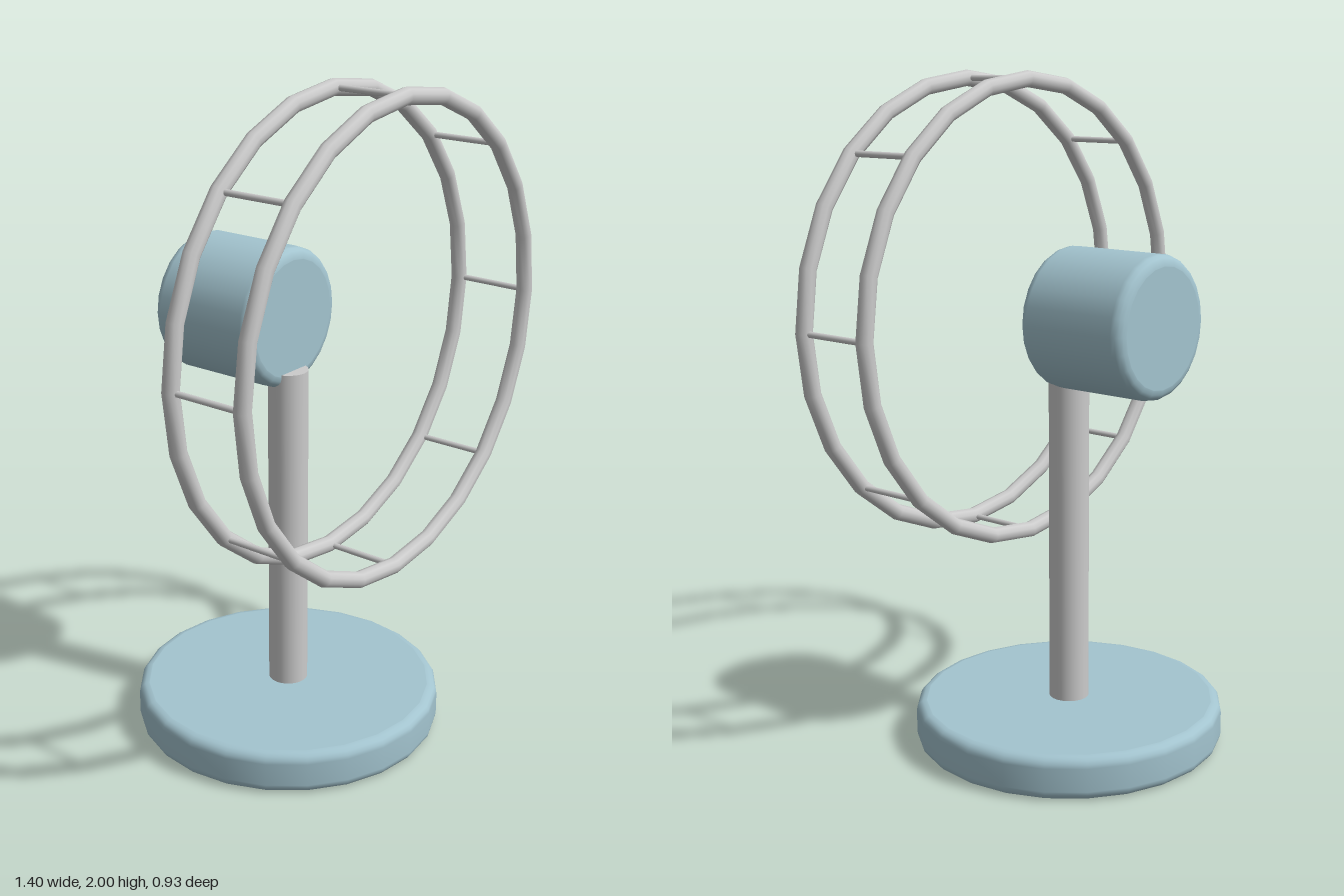
import * as THREE from 'three';

const SIDES = 24;
const HUB_Y = 1.302;

// Solid disc along +y from 0 to height, with rounded rims
function roundedDisc(radius, height, bevel) {
  const profile = [new THREE.Vector2(0, 0), new THREE.Vector2(radius - bevel * 1.05, 0)];
  for (const [cy, start] of [[bevel, -Math.PI / 2], [height - bevel, 0]]) {
    for (let i = 0; i <= 4; i++) {
      const a = start + (i / 4) * (Math.PI / 2);
      profile.push(new THREE.Vector2(radius - bevel + Math.cos(a) * bevel, cy + Math.sin(a) * bevel));
    }
  }
  profile.push(new THREE.Vector2(radius - bevel * 1.05, height), new THREE.Vector2(0, height));
  return new THREE.LatheGeometry(profile, SIDES);
}

export function createModel() {
  const model = new THREE.Group();
  model.name = 'deskFan';
  const grey = new THREE.MeshStandardMaterial({ color: 0xcccccc });
  const blue = new THREE.MeshStandardMaterial({ color: 0xa3c4cf });

  function add(parent, name, geometry, material, x, y, z) {
    const mesh = new THREE.Mesh(geometry, material);
    mesh.name = name;
    mesh.position.set(x, y, z);
    parent.add(mesh);
    return mesh;
  }

  // Round base and upright post
  add(model, 'base', roundedDisc(0.466, 0.13, 0.03), blue, 0, 0, 0);
  add(model, 'post', new THREE.CylinderGeometry(0.06, 0.06, 1.045, SIDES), grey, 0, 0.6225, 0);

  // Motor housing, lying along z behind the post
  const motor = roundedDisc(0.207, 0.357, 0.032).rotateX(Math.PI / 2);
  add(model, 'motorHousing', motor, blue, 0, HUB_Y, -0.337);

  // Guard cage: two hoops joined by eight bars
  const cage = new THREE.Group();
  cage.name = 'guardCage';
  cage.position.y = HUB_Y;
  model.add(cage);
  const hoopRadius = 0.674, backZ = 0.153, frontZ = 0.387;
  const hoop = new THREE.TorusGeometry(hoopRadius, 0.024, 10, SIDES);
  add(cage, 'backHoop', hoop, grey, 0, 0, backZ);
  add(cage, 'frontHoop', hoop, grey, 0, 0, frontZ);

  const bar = new THREE.CylinderGeometry(0.009, 0.009, frontZ - backZ, 8).rotateX(Math.PI / 2);
  for (let i = 0; i < 8; i++) {
    const a = (i / 8) * Math.PI * 2;
    add(cage, 'guardBar' + (i + 1), bar, grey,
      Math.cos(a) * hoopRadius, Math.sin(a) * hoopRadius, (backZ + frontZ) / 2);
  }

  return model;
}
